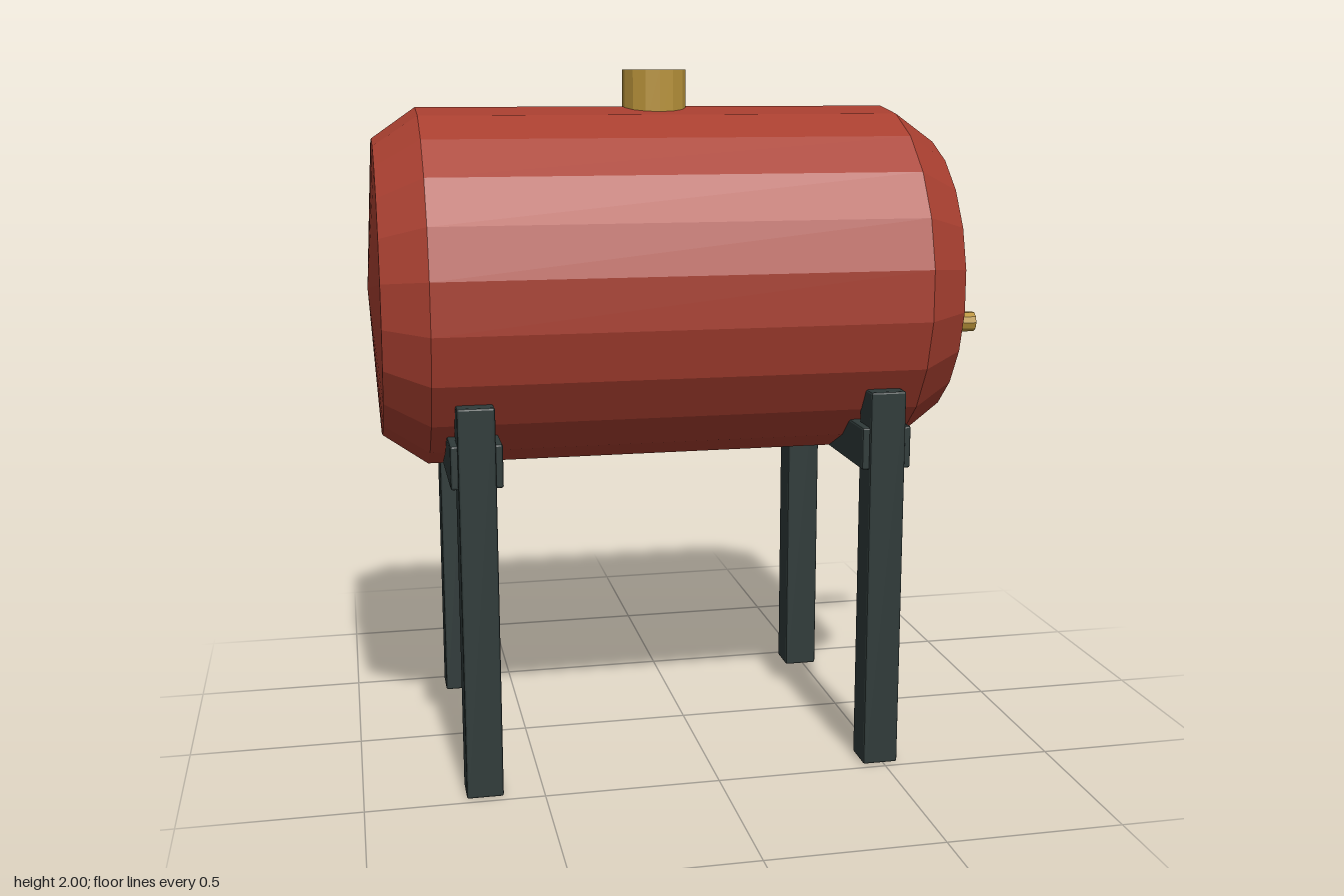
import * as THREE from 'three';
import { RoundedBoxGeometry } from 'three/addons/geometries/RoundedBoxGeometry.js';

function material(name, color) {
  const m = new THREE.MeshStandardMaterial({ color, flatShading: true });
  m.name = name;
  return m;
}

export function createModel() {
  const group = new THREE.Group();
  const red = material('red paint', 0xa83f30);
  const brass = material('brass', 0xb8923a);
  const steel = material('dark steel', 0x2f3a39);

  const add = (name, geometry, mat, x, y, z) => {
    const mesh = new THREE.Mesh(geometry, mat);
    mesh.name = name;
    mesh.position.set(x, y, z);
    group.add(mesh);
    return mesh;
  };

  // Tank: faceted barrel with chamfered rims and shallow conical ends
  const profile = [
    [0, -0.93], [0.426, -0.905], [0.513, -0.78],
    [0.513, 0.605], [0.426, 0.73], [0, 0.757],
  ].map(([r, h]) => new THREE.Vector2(r, h));
  const tank = add('tank', new THREE.LatheGeometry(profile, 22, Math.PI / 2), red, 0, 1.382, 0);
  tank.rotation.z = -Math.PI / 2;

  // Filler cap on top and outlet pipe on the end
  add('fillerCap', new THREE.CylinderGeometry(0.093, 0.093, 0.16, 14), brass, -0.088, 1.92, 0);
  const pipe = add('outletPipe', new THREE.CylinderGeometry(0.031, 0.031, 0.205, 10), brass, 0.823, 1.23, 0);
  pipe.rotation.z = -Math.PI / 2;

  // Stand: two pairs of legs, each joined by a cross bar
  const legShape = new RoundedBoxGeometry(0.103, 1.111, 0.103, 1, 0.006);
  const barShape = new RoundedBoxGeometry(0.143, 0.122, 0.934, 1, 0.006);
  for (const x of [-0.666, 0.491]) {
    add('crossBar', barShape, steel, x, 0.947, 0);
    for (const z of [-0.427, 0.427]) add('leg', legShape, steel, x, 0.5555, z);
  }
  return group;
}
